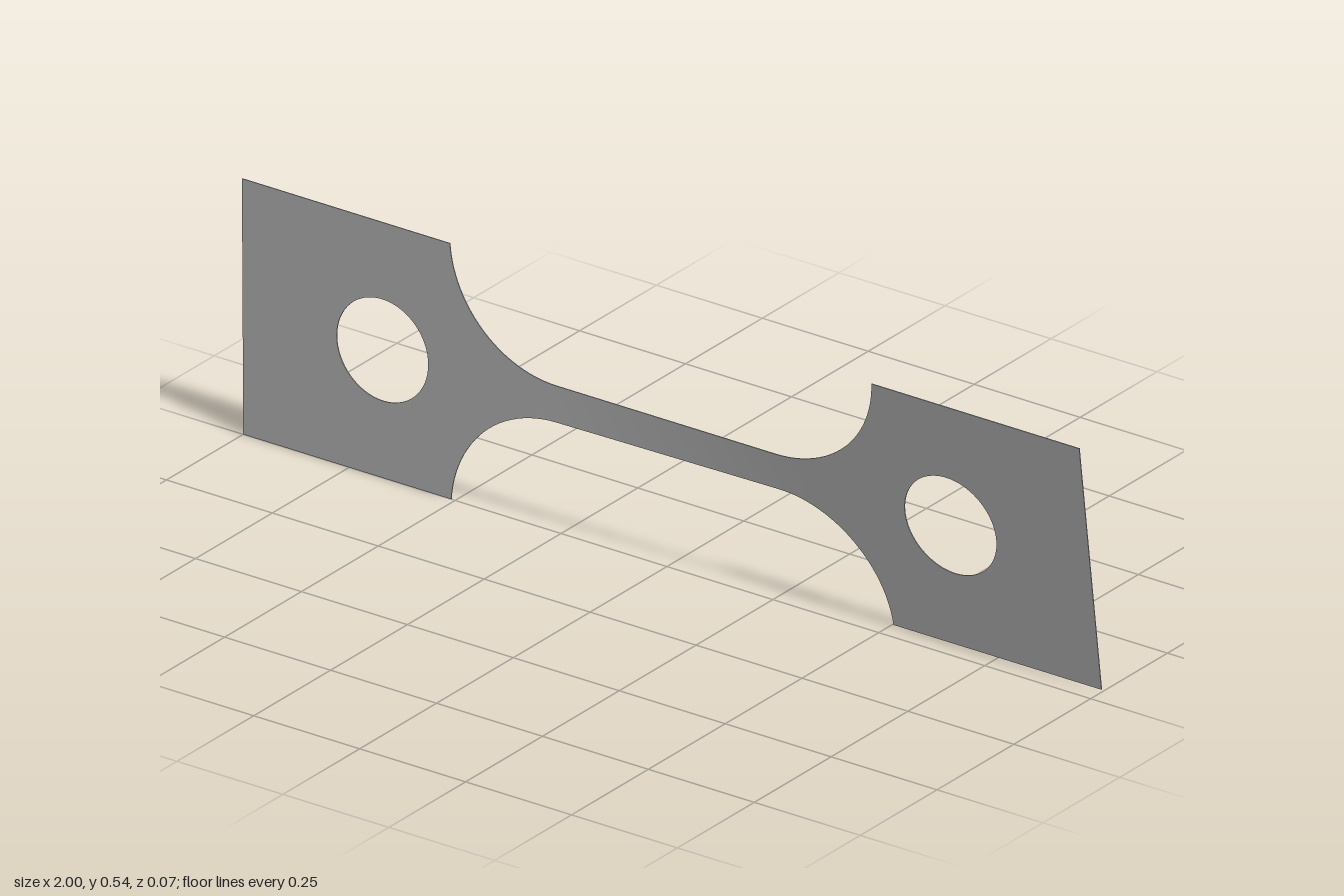
import * as THREE from 'three';

const T = 0.002;        // sheet thickness
const HALF = 0.2715;    // half height of the grips
const GAUGE = 0.26;     // half length of the straight gauge
const R = 0.25;         // fillet radius
const ARC = 0.289;      // height of the fillet centre above the axis
const SWEEP = Math.acos((ARC - HALF) / R);
const SHOULDER = GAUGE + R * Math.sin(SWEEP);

// Twist the flat sheet about its long axis, from the right grip to the left one
function twist(geometry) {
  const p = geometry.attributes.position;
  for (let i = 0; i < p.count; i++) {
    const x = p.getX(i), y = p.getY(i), z = p.getZ(i);
    const k = THREE.MathUtils.clamp((x + 0.3) / 0.6, 0, 1);
    const a = THREE.MathUtils.lerp(0.008, 0.134, k);
    p.setXYZ(i, x,
      HALF + 0.003 * k + y * Math.cos(a) - z * Math.sin(a),
      0.001 * (1 - k) + y * Math.sin(a) + z * Math.cos(a));
  }
  geometry.computeVertexNormals();
  return geometry;
}

// Rectangular end with a pin hole
function gripGeometry(side) {
  const x0 = side > 0 ? SHOULDER : -1;
  const x1 = side > 0 ? 1 : -SHOULDER;
  const shape = new THREE.Shape();
  shape.moveTo(x0, -HALF);
  shape.lineTo(x1, -HALF);
  shape.lineTo(x1, HALF);
  shape.lineTo(x0, HALF);
  shape.closePath();
  const hole = new THREE.Path();
  hole.absarc(side * 0.67, 0, 0.108, 0, Math.PI * 2, true);
  shape.holes.push(hole);
  const g = new THREE.ExtrudeGeometry(shape, { depth: T, bevelEnabled: false, curveSegments: 32 });
  g.translate(0, 0, -T / 2);
  return twist(g);
}

// Straight gauge flaring through round fillets into both grips
function neckGeometry() {
  const g = new THREE.BoxGeometry(2, 2, T, 80, 4, 1);
  const p = g.attributes.position;
  for (let i = 0; i < p.count; i++) {
    const u = p.getX(i), t = Math.abs(u);
    const angle = Math.max(0, (t - 0.4) / 0.6) * SWEEP;
    const x = GAUGE * Math.min(1, t / 0.4) + R * Math.sin(angle);
    p.setX(i, Math.sign(u) * x);
    p.setY(i, p.getY(i) * (ARC - R * Math.cos(angle)));
  }
  return twist(g);
}

export function createModel() {
  const group = new THREE.Group();
  group.name = 'twistedTensileSpecimen';
  const steel = new THREE.MeshStandardMaterial({ color: 0xb4b4b4 });
  steel.name = 'plainGreySteel';

  const parts = {
    leftGrip: gripGeometry(1),
    rightGrip: gripGeometry(-1),
    neck: neckGeometry(),
  };
  for (const [name, geometry] of Object.entries(parts)) {
    const mesh = new THREE.Mesh(geometry, steel);
    mesh.name = name;
    group.add(mesh);
  }
  return group;
}
